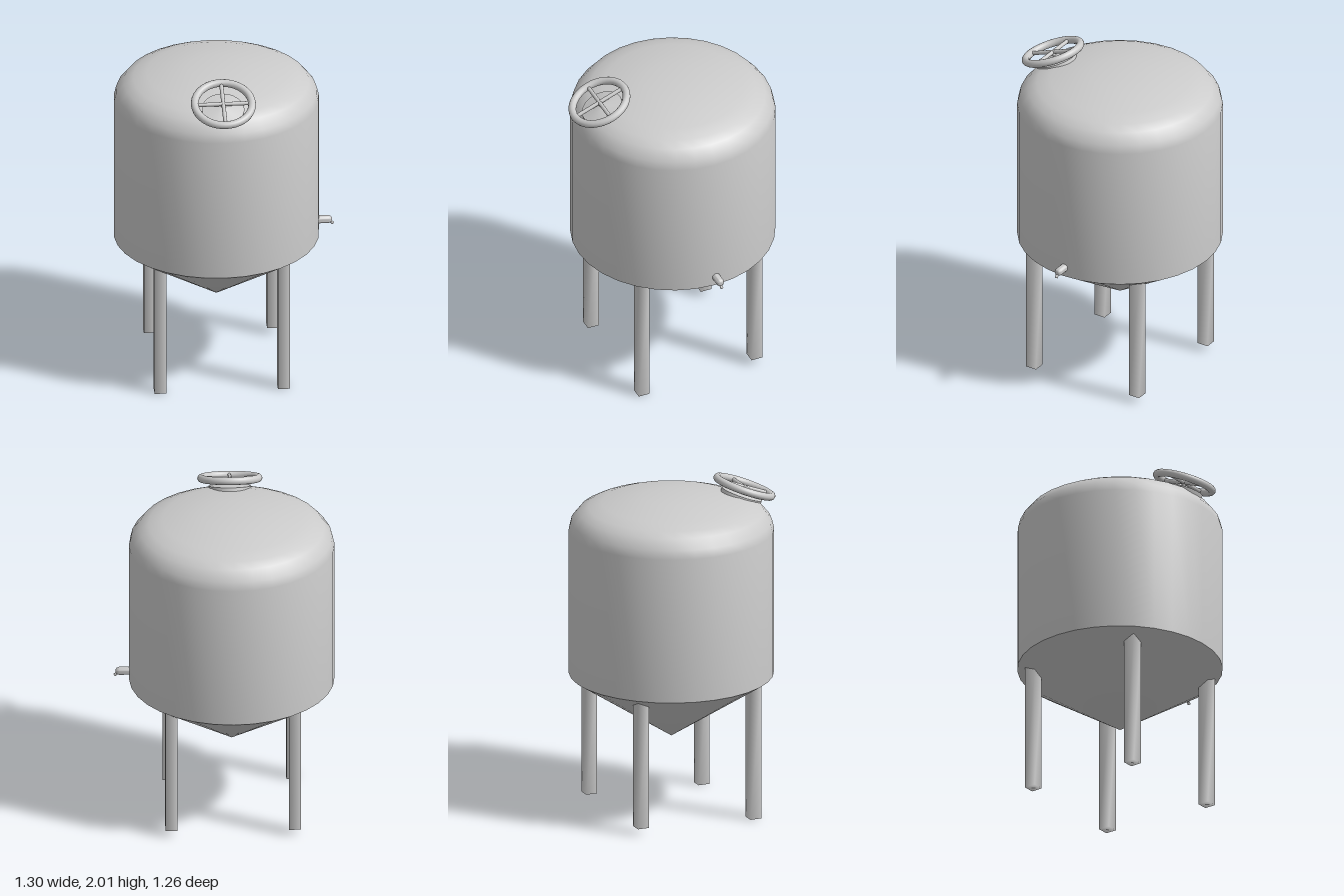
import * as THREE from 'three';
import { mergeVertices, toCreasedNormals } from 'three/addons/utils/BufferGeometryUtils.js';

const CX = -0.047, CZ = -0.021, R = 0.605, TIP = 0.45, BASE = 0.845;

export function createModel() {
  const model = new THREE.Group();
  const steel = new THREE.MeshStandardMaterial({ color: 0xcccccc });
  const add = (parent, name, geometry, x = 0, y = 0, z = 0) => {
    const mesh = new THREE.Mesh(geometry, steel);
    mesh.name = name;
    mesh.position.set(x, y, z);
    parent.add(mesh);
    return mesh;
  };

  // Tank: cone bottom, straight wall, rounded shoulder, nearly flat top
  const profile = [
    [0, TIP], [R, BASE], [R, 1.73], [0.592, 1.782], [0.545, 1.84],
    [0.49, 1.868], [0.41, 1.895], [0.175, 1.93], [0, 1.93],
  ].map(([r, y]) => new THREE.Vector2(r, y));
  add(model, 'tank', toCreasedNormals(new THREE.LatheGeometry(profile, 32), 0.7), CX, 0, CZ);

  // Legs: square posts whose tops are cut to the cone; the rear pair is shorter
  for (const sx of [-1, 1]) {
    for (const sz of [-1, 1]) {
      const foot = sz > 0 ? 0 : 0.04;
      let geo = new THREE.BoxGeometry(0.07, 1, 0.07);
      geo.deleteAttribute('normal');
      geo.deleteAttribute('uv');
      geo = mergeVertices(geo);
      const p = geo.attributes.position;
      for (let i = 0; i < p.count; i++) {
        const r = Math.hypot(p.getX(i) + sx * 0.364, p.getZ(i) + sz * 0.364);
        p.setY(i, p.getY(i) > 0 ? TIP + (BASE - TIP) * r / R : foot);
      }
      geo.computeVertexNormals();
      add(model, `${sz > 0 ? 'front' : 'rear'}${sx > 0 ? 'Left' : 'Right'}Leg`,
        geo, CX + sx * 0.364, 0, CZ + sz * 0.364);
    }
  }

  // Hatch: tilted collar with a shallow conical lid and a hand wheel
  const hatch = new THREE.Group();
  hatch.name = 'hatch';
  hatch.position.set(CX, 1.882, 0.436);
  hatch.rotation.x = 0.367;
  model.add(hatch);
  add(hatch, 'hatchCollar', new THREE.CylinderGeometry(0.125, 0.125, 0.04, 32), 0, -0.02, 0);
  add(hatch, 'hatchLid', new THREE.ConeGeometry(0.12, 0.025, 32, 1, true), 0, 0.0125, 0);
  add(hatch, 'wheelStem', new THREE.CylinderGeometry(0.012, 0.012, 0.045, 12), 0, 0.0225, 0);
  add(hatch, 'wheelRim', new THREE.TorusGeometry(0.169, 0.023, 12, 40), 0, 0.045, 0)
    .rotation.x = Math.PI / 2;
  const spoke = new THREE.CylinderGeometry(0.012, 0.012, 0.33, 12);
  add(hatch, 'crossSpoke', spoke, 0, 0.045, 0).rotation.z = Math.PI / 2;
  add(hatch, 'longSpoke', spoke, 0, 0.045, 0).rotation.x = Math.PI / 2;

  // Outlet: short round-ended pipe with a small nozzle angled downwards
  const outlet = new THREE.Group();
  outlet.name = 'outlet';
  outlet.position.set(0.54, 0.903, -0.028);
  model.add(outlet);
  const pipe = [[0, -0.03], [0.024, -0.03], [0.024, 0.075], [0.019, 0.089], [0.01, 0.096], [0, 0.097]]
    .map(([r, y]) => new THREE.Vector2(r, y));
  add(outlet, 'outletPipe', toCreasedNormals(new THREE.LatheGeometry(pipe, 20), 0.8))
    .rotation.z = -Math.PI / 2;
  add(outlet, 'outletNozzle', new THREE.CylinderGeometry(0.009, 0.009, 0.05, 12), 0.085, -0.01, 0)
    .rotation.z = Math.PI / 4;

  return model;
}
